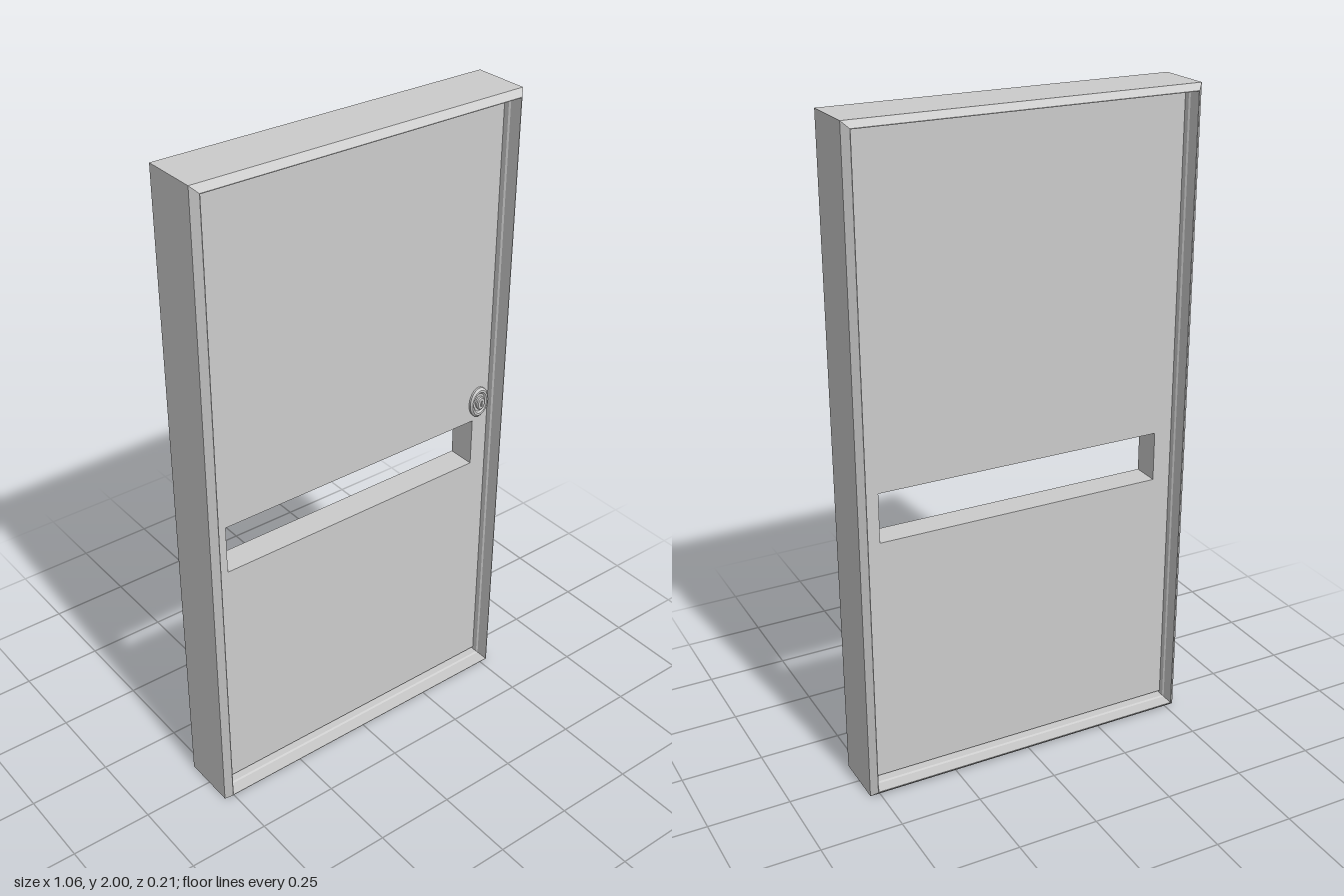
import * as THREE from 'three';

const W = 0.53, H = 2; // half width and height of the frame

export function createModel() {
  const door = new THREE.Group();
  door.name = 'door';
  const mat = new THREE.MeshStandardMaterial({ color: 0xcccccc, flatShading: true });
  const add = (name, geometry, x = 0, y = 0, z = 0) => {
    const mesh = new THREE.Mesh(geometry, mat);
    mesh.name = name;
    mesh.position.set(x, y, z);
    door.add(mesh);
    return mesh;
  };

  // Mitred frame: closed profile of [inset, z] carried round the four corners
  const front = [[0, 0.086], [0.018, 0.105], [0.02, 0.105], [0.02, 0.065], [0.023, 0.06]];
  const profile = [...front, ...front.map(([d, z]) => [d, -z]).reverse()];
  const corners = [[-1, -1], [1, -1], [1, 1], [-1, 1]];
  const point = (c, [d, z]) => [c[0] * (W - d), H / 2 + c[1] * (H / 2 - d), z];
  const pos = [];
  corners.forEach((c, i) => {
    const n = corners[(i + 1) % 4];
    profile.forEach((p, j) => {
      const q = profile[(j + 1) % profile.length];
      const a = point(c, p), b = point(n, p), e = point(n, q), f = point(c, q);
      pos.push(...a, ...b, ...e, ...a, ...e, ...f);
    });
  });
  const frame = new THREE.BufferGeometry();
  frame.setAttribute('position', new THREE.Float32BufferAttribute(pos, 3));
  frame.computeVertexNormals();
  add('frame', frame);

  // Door leaf with the slot, leaving a gap above the sill
  const rect = (path, x, y0, y1) =>
    path.moveTo(-x, y0).lineTo(x, y0).lineTo(x, y1).lineTo(-x, y1).closePath();
  const leaf = rect(new THREE.Shape(), 0.507, 0.031, 1.977);
  leaf.holes.push(rect(new THREE.Path(), 0.45, 0.802, 0.955));
  add('leaf', new THREE.ExtrudeGeometry(leaf, { depth: 0.086, bevelEnabled: false }), 0, 0, -0.043);

  // Oval lock plate with a raised rim and a small keyhole boss
  const oval = (name, profilePoints) => {
    const g = new THREE.LatheGeometry(profilePoints.map(([r, h]) => new THREE.Vector2(r, h)), 24);
    g.rotateX(Math.PI / 2);
    g.scale(0.7, 1, 1);
    add(name, g, 0.468, 1.018, 0.043);
  };
  oval('lockPlate', [[0.05, 0], [0.05, 0.006], [0.043, 0.012], [0.036, 0.012], [0.03, 0.007], [0, 0.007]]);
  oval('lockBoss', [[0.022, 0.007], [0.022, 0.014], [0.018, 0.017], [0, 0.017]]);
  add('keySlot', new THREE.BoxGeometry(0.006, 0.018, 0.006), 0.468, 1.018, 0.06);

  return door;
}
